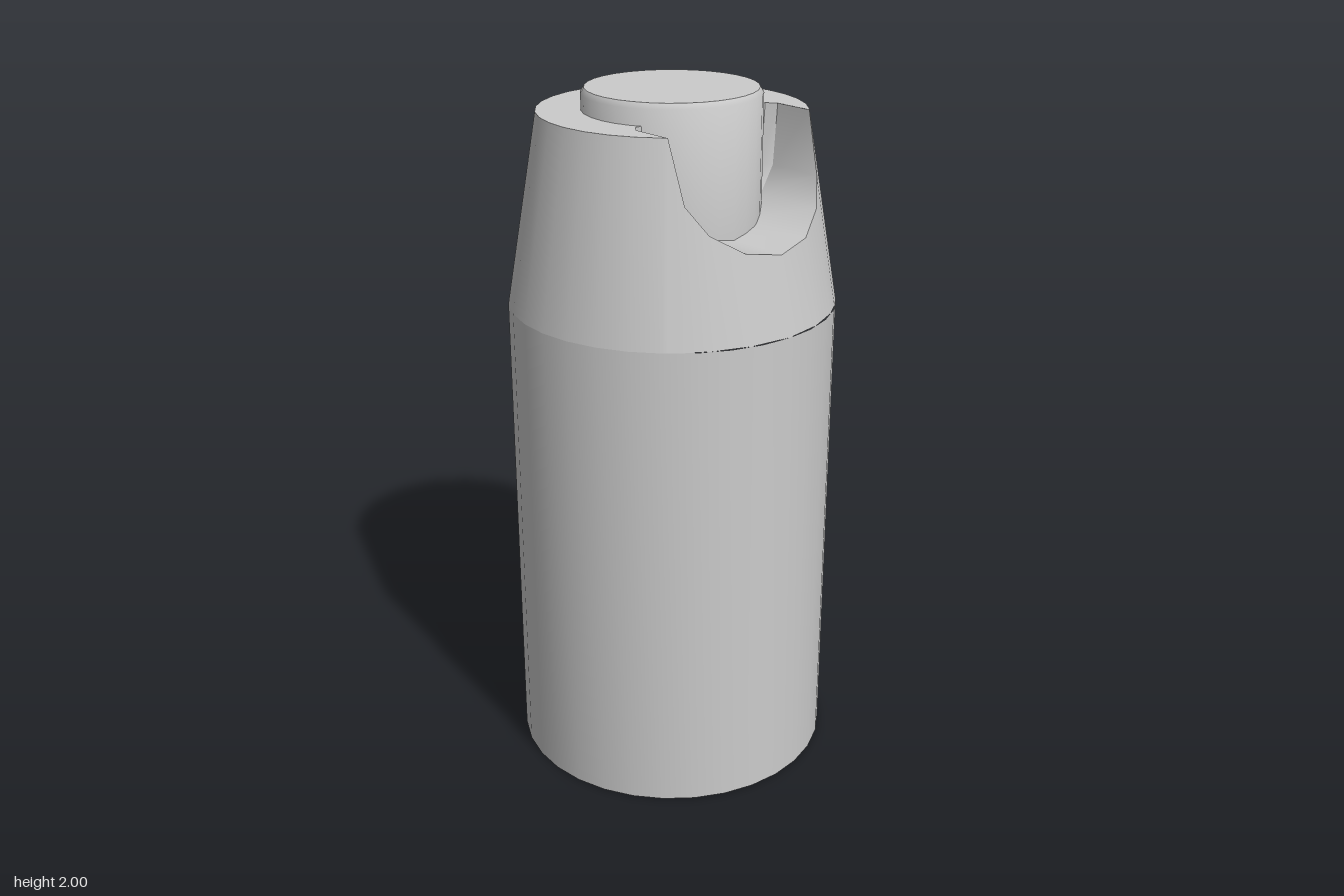
import * as THREE from 'three';
import { toCreasedNormals } from 'three/addons/utils/BufferGeometryUtils.js';

const SIDES = 32, STEP = (Math.PI * 2) / SIDES;
const R_BODY = 0.467, R_TOP = 0.374, Y_SHOULDER = 1.4, Y_TOP = 1.94;
const material = new THREE.MeshStandardMaterial({ color: 0xcccccc });

// Radius of the tapered shoulder at a height
const taper = (y) => THREE.MathUtils.mapLinear(y, Y_SHOULDER, Y_TOP, R_BODY, R_TOP);

// Point on a 32-sided ring
function ringPoint(radius, angle, y) {
  const within = THREE.MathUtils.euclideanModulo(angle, STEP) - STEP / 2;
  const r = (radius * Math.cos(STEP / 2)) / Math.cos(within);
  return [r * Math.cos(angle), y, r * Math.sin(angle)];
}

// Quads between two rows of points
function strip(a, b) {
  const p = [];
  for (let i = 0; i < a.length - 1; i++) {
    p.push(...a[i], ...b[i], ...b[i + 1], ...a[i], ...b[i + 1], ...a[i + 1]);
  }
  const g = new THREE.BufferGeometry();
  g.setAttribute('position', new THREE.Float32BufferAttribute(p, 3));
  return g;
}

const lathe = (pts) =>
  new THREE.LatheGeometry(pts.map(([x, y]) => new THREE.Vector2(x, y)), SIDES);

const shapeOf = (pts) =>
  new THREE.ShapeGeometry(new THREE.Shape(pts.map(([x, y]) => new THREE.Vector2(x, y))));

export function createModel() {
  const model = new THREE.Group();
  const add = (name, geometry, crease = 0.8) => {
    const mesh = new THREE.Mesh(toCreasedNormals(geometry, crease), material);
    mesh.name = name;
    model.add(mesh);
  };

  // Straight body with closed base
  add('body', lathe([[0, 0], [R_BODY, 0], [R_BODY, Y_SHOULDER]]));

  // U-shaped notch section [z, y], from +z to -z
  const half = [[0.258, Y_TOP], [0.245, 1.77], [0.2, 1.695], [0.112, 1.64]];
  const notch = [...half, [0, 1.62], ...half.map(([z, y]) => [-z, y]).reverse()];
  const notchRim = notch.map(([z, y]) => {
    const r = taper(y);
    return ringPoint(r, Math.asin(z / r), y);
  });

  // Tapered shoulder whose upper edge dips along the notch
  const lower = [], upper = [];
  const addColumn = (angle, top) => {
    lower.push(ringPoint(R_BODY, angle, Y_SHOULDER));
    upper.push(top);
  };
  const topRing = [];
  for (let i = 4; i <= SIDES - 4; i++) {
    const p = ringPoint(R_TOP, i * STEP, Y_TOP);
    topRing.push(p);
    addColumn(i * STEP, p);
  }
  [...notchRim].reverse().forEach((p) => addColumn(Math.atan2(p[2], p[0]), p));
  addColumn(4 * STEP, topRing[0]);
  add('shoulder', strip(lower, upper));

  // Flat top, cut away at the notch
  const xBack = 0.122, xBend = 0.15, narrow = 0.92;
  const zTop = notch[0][0], rimX = notchRim[0][0];
  const outline = [
    ...topRing.map(([x, , z]) => [x, z]),
    [rimX, -zTop], [xBend, -zTop], [xBack, -zTop * narrow],
    [xBack, zTop * narrow], [xBend, zTop], [rimX, zTop],
  ];
  add('topFace', shapeOf(outline).rotateX(-Math.PI / 2).translate(0, Y_TOP, 0));

  // Notch floor and sides, with a bevelled inner corner
  const bend = notch.map(([z, y]) => [xBend, y, z]);
  const back = notch.map(([z, y]) => [xBack, y, z * narrow]);
  add('notchChannel', strip(bend, notchRim));
  add('notchCorner', strip(back, bend));
  add('notchBackWall', shapeOf(notch.map(([z, y]) => [z * narrow, y]))
    .rotateY(Math.PI / 2).translate(xBack, 0, 0));

  // Round button standing in the notch
  add('button', lathe([[0, 1.6], [0.25, 1.6], [0.25, 1.985], [0.24, 2], [0, 2]]), 0.9);

  return model;
}
